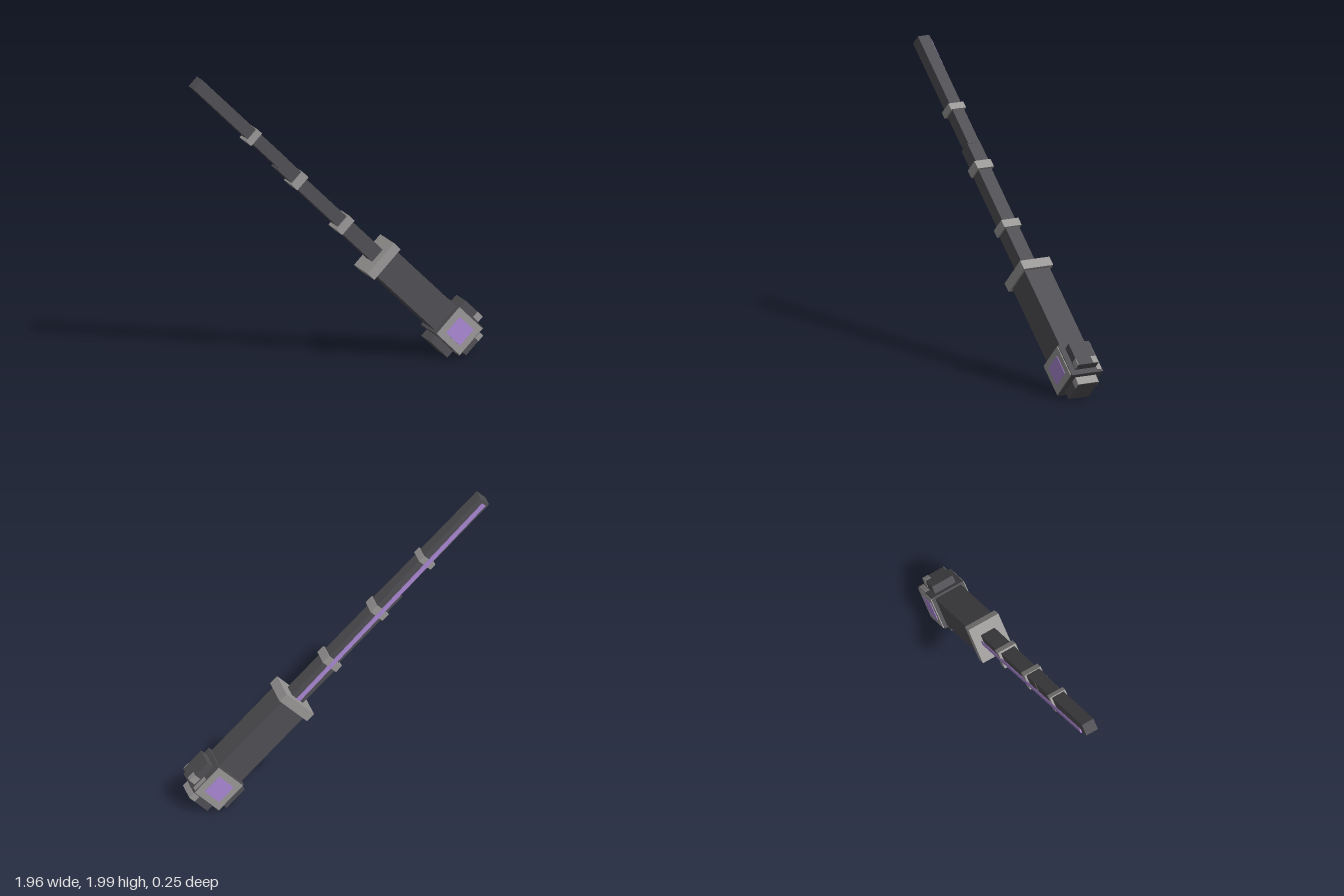
import * as THREE from 'three';

export function createModel() {
  const mat = (name, color) => {
    const m = new THREE.MeshStandardMaterial({ color });
    m.name = name;
    return m;
  };
  const dark = mat('charcoal', 0x504f53);
  const grey = mat('grey metal', 0x9a9897);
  const purple = mat('purple', 0xab88d3);

  const model = new THREE.Group();
  model.name = 'wand';
  // local y runs along the shaft, origin at the pommel centre
  const wand = new THREE.Group();
  wand.name = 'wandBody';
  wand.position.set(0.798, 0.185, 0);
  wand.rotation.z = Math.PI / 4;
  model.add(wand);

  // box spanning y0..y1 along the shaft, centred at x, z
  const box = (name, m, w, y0, y1, d, x = 0, z = 0) => {
    const mesh = new THREE.Mesh(new THREE.BoxGeometry(w, y1 - y0, d), m);
    mesh.name = name;
    mesh.position.set(x, (y0 + y1) / 2, z);
    wand.add(mesh);
    return mesh;
  };

  // handle and collar
  box('handle', dark, 0.2, 0.08, 0.7, 0.186, 0.002);
  box('collar', grey, 0.254, 0.689, 0.753, 0.218);

  // shaft segments, drifting slightly sideways toward the tip
  box('shaftLower', dark, 0.1, 0.74, 1.075, 0.1, 0.003);
  box('shaftMiddle', dark, 0.085, 1.07, 1.52, 0.096, 0.01);
  box('shaftUpper', dark, 0.092, 1.5, 1.688, 0.094, 0.018);
  box('shaftTip', dark, 0.08, 1.68, 2.502, 0.084, 0.026);

  // rings: [position, width, thickness, depth, sideways offset]
  [[1.072, 0.12, 0.055, 0.128, 0.006],
   [1.519, 0.108, 0.058, 0.12, 0.0155],
   [1.962, 0.105, 0.045, 0.112, 0.021]].forEach(([y, w, h, d, x]) =>
    box('ring', grey, w, y - h / 2, y + h / 2, d, x));

  // glowing strip along the back
  const strip = box('backStrip', purple, 0.028, 0.74, 2.485, 0.008, 0.013, -0.06);
  strip.rotation.z = -0.014;

  // pommel core with a framed gem on the front and back
  box('pommelCore', dark, 0.232, -0.116, 0.116, 0.23);
  for (const side of [1, -1]) {
    box('gemFrame', grey, 0.22, -0.11, 0.11, 0.008, 0, side * 0.117);
    box('gem', purple, 0.133, -0.0665, 0.0665, 0.004, 0, side * 0.1225);
    // side blocks
    box('sideBlock', dark, 0.06, -0.08, 0.083, 0.15, side * 0.14);
  }
  box('endBlock', dark, 0.162, -0.17, -0.11, 0.15);

  // worn metal patches
  box('endBlockSidePatch', grey, 0.004, -0.17, -0.116, 0.15, 0.082);
  for (const side of [1, -1]) {
    box('endBlockFacePatch', grey, 0.045, -0.17, -0.116, 0.004, 0.0595, side * 0.0755);
    box('sideBlockFacePatch', grey, 0.045, -0.08, -0.03, 0.004, 0.148, side * 0.0755);
  }
  box('sideBlockPatch', grey, 0.004, -0.08, -0.03, 0.04, 0.171, -0.055);
  box('corePatch', grey, 0.004, -0.1, 0, 0.035, 0.117, -0.097);
  return model;
}
